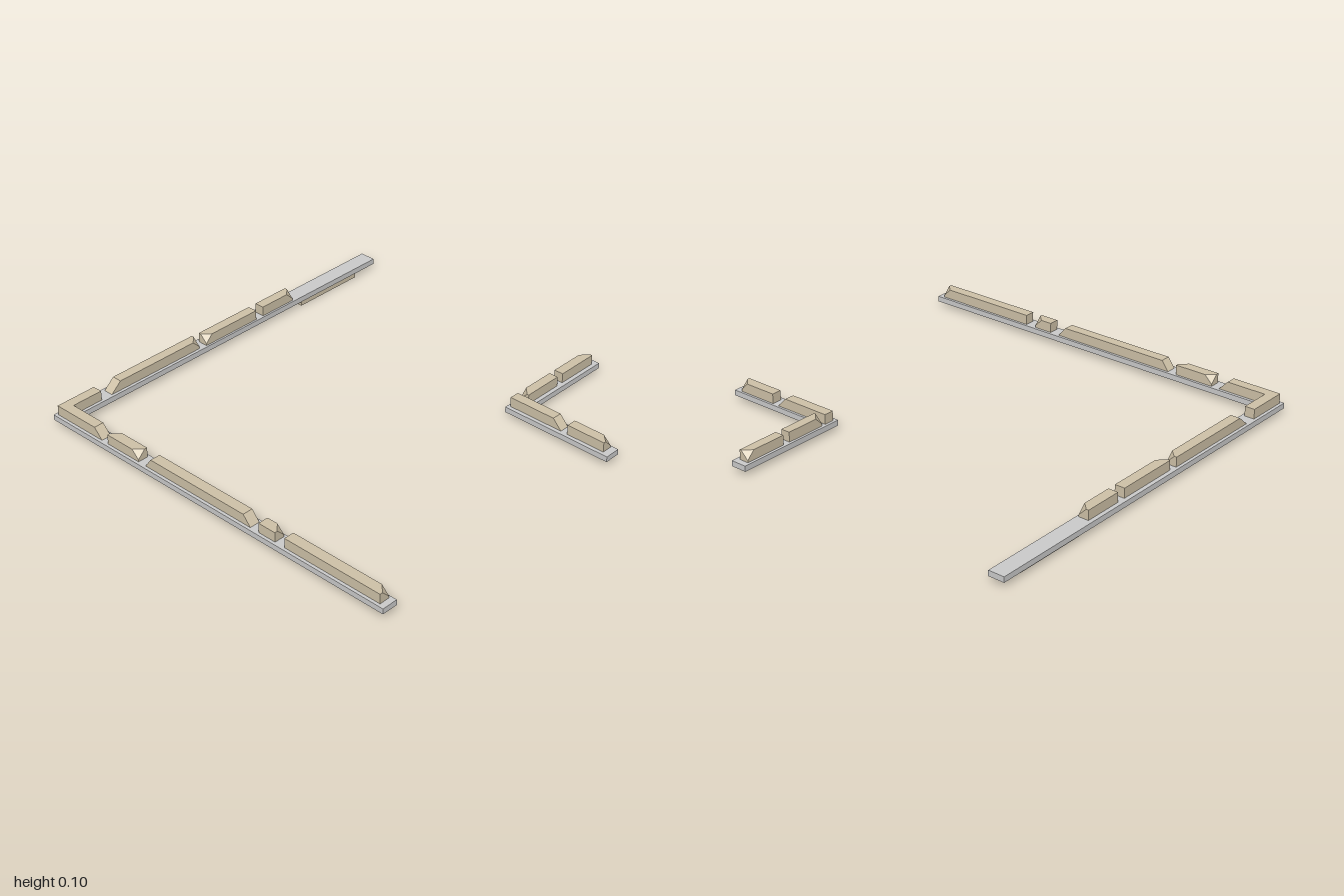
import * as THREE from 'three';
import { ConvexGeometry } from 'three/addons/geometries/ConvexGeometry.js';

const Y0 = 0.025, Y1 = 0.052, Y2 = 0.1; // slab bottom, slab top, stone top
const grey = new THREE.MeshStandardMaterial({ color: 0xcccccc, flatShading: true });
const tan = new THREE.MeshStandardMaterial({ color: 0xcfc2a8, flatShading: true });

function add(group, name, geometry, material) {
  const mesh = new THREE.Mesh(geometry, material);
  mesh.name = name;
  group.add(mesh);
}

// L-shaped prism: corner at (x0, z0), arms reaching x1 and z1, arm width w.
// slope pulls the top edge of the z arm's end backwards.
function lPrism(x0, z0, x1, z1, w, bottom, top, slope = 0) {
  const outline = [[x0, z0], [x1, z0], [x1, z0 + w], [x0 + w, z0 + w], [x0 + w, z1], [x0, z1]];
  const shape = new THREE.Shape(outline.map(([x, z]) => new THREE.Vector2(x, z)));
  const g = new THREE.ExtrudeGeometry(shape, { depth: top - bottom, bevelEnabled: false });
  g.rotateX(Math.PI / 2).translate(0, top, 0);
  const p = g.attributes.position;
  for (let i = 0; i < p.count; i++) {
    if (p.getY(i) > top - 1e-4 && p.getZ(i) > z1 - 1e-4) p.setZ(i, z1 - slope);
  }
  g.computeVertexNormals();
  return g;
}

// Block with optional sloped ends and chipped top corners.
// slope: {l, r, b, f} insets of the top edges; chips: list of [sideX, sideZ].
function stone(x0, x1, z0, z1, { l = 0, r = 0, b = 0, f = 0, chips = [] } = {}) {
  const c = 0.038, points = [];
  for (const sx of [-1, 1]) for (const sz of [-1, 1]) {
    const x = sx < 0 ? x0 : x1, z = sz < 0 ? z0 : z1;
    points.push(new THREE.Vector3(x, Y1, z));
    if (chips.some(([cx, cz]) => cx === sx && cz === sz)) {
      points.push(
        new THREE.Vector3(x - sx * c, Y2, z),
        new THREE.Vector3(x, Y2, z - sz * c),
        new THREE.Vector3(x, Y2 - c, z));
    } else {
      points.push(new THREE.Vector3(x + (sx < 0 ? l : -r), Y2, z + (sz < 0 ? b : -f)));
    }
  }
  return new ConvexGeometry(points);
}

export function createModel() {
  const model = new THREE.Group();
  model.name = 'wallFoundations';

  // Large outer corner
  const large = new THREE.Group();
  large.name = 'largeCorner';
  add(large, 'largeBase', lPrism(-1, -1, 1, 1, 0.08, Y0, Y1), grey);
  add(large, 'largeCornerStone', lPrism(-0.985, -0.985, -0.775, -0.69, 0.05, Y1, Y2, 0.045), tan);
  [
    [-0.65, -0.45, { chips: [[1, -1], [-1, 1]] }],
    [-0.405, 0.24, { b: 0.035, f: 0.04 }],
    [0.29, 0.385, { chips: [[1, 1]] }],
    [0.44, 0.97, { chips: [[1, 1]] }],
  ].forEach(([z0, z1, o]) => add(large, 'sideStone', stone(-0.985, -0.933, z0, z1, o), tan));
  [
    [-0.715, -0.175, -0.985, { l: 0.055, chips: [[1, 1]] }],
    [-0.135, 0.19, -0.98, { chips: [[-1, 1]] }],
    [0.235, 0.435, -0.98, { chips: [[1, 1]] }],
  ].forEach(([x0, x1, z0, o]) => add(large, 'backStone', stone(x0, x1, z0, z0 + 0.05, o), tan));

  // Strip beneath the bare end of the back slab
  const strip = new THREE.BoxGeometry(0.38, Y0, 0.05);
  strip.translate(0.68, Y0 / 2, -0.95);
  add(large, 'underStrip', strip, tan);

  // Small inner corner
  const small = new THREE.Group();
  small.name = 'smallCorner';
  add(small, 'smallBase', lPrism(0.423, 0.427, 1, 1, 0.08, Y0, Y1), grey);
  add(small, 'smallSideStone', stone(0.442, 0.492, 0.44, 0.73, { f: 0.045 }), tan);
  add(small, 'smallSideStone', stone(0.442, 0.492, 0.765, 0.965, { chips: [[1, 1]] }), tan);
  add(small, 'smallBackStone', stone(0.512, 0.717, 0.44, 0.487, { chips: [[-1, -1]] }), tan);
  add(small, 'smallBackStone', stone(0.753, 0.97, 0.44, 0.487, { chips: [[1, -1]] }), tan);

  model.add(large, small);
  return model;
}
